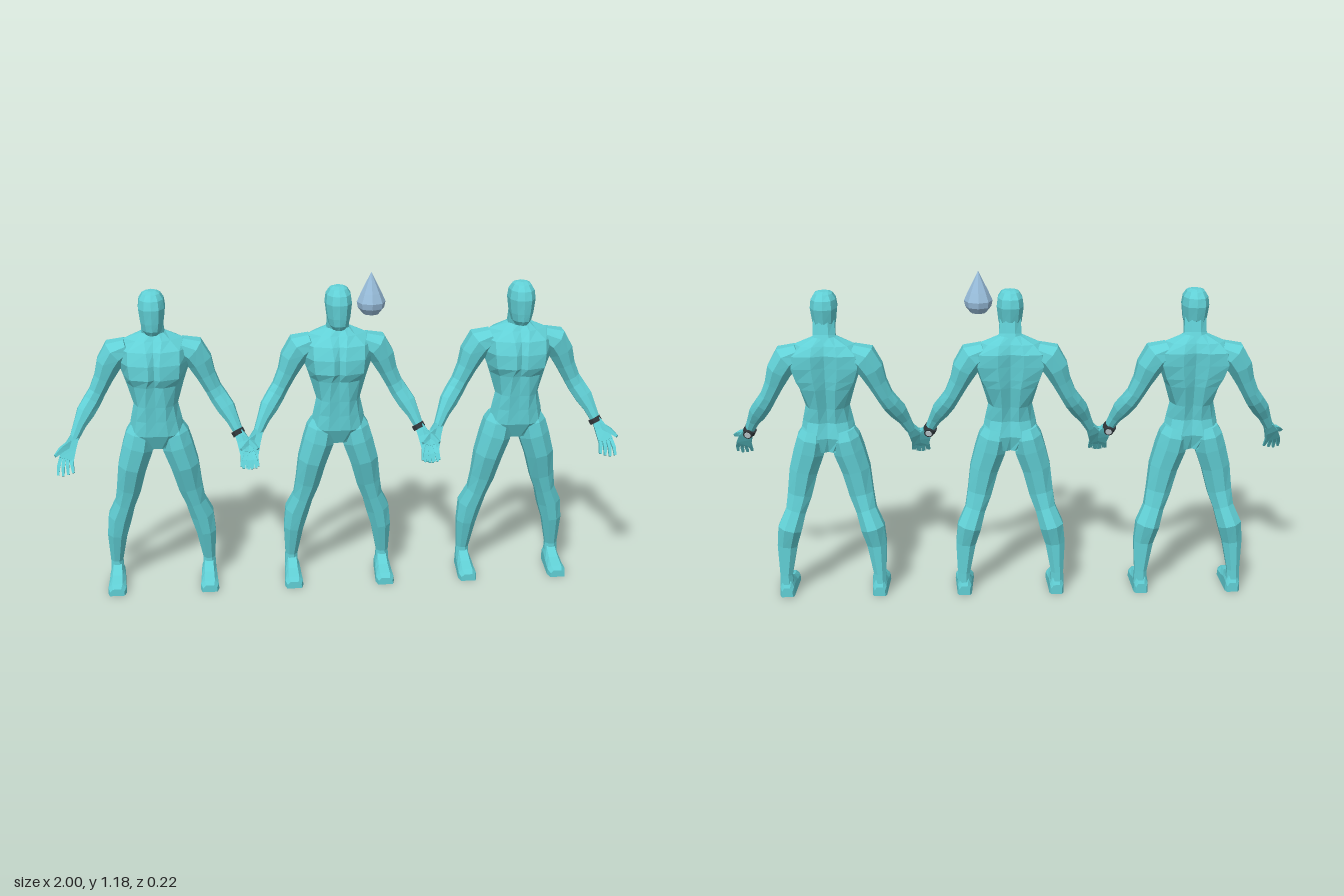
import * as THREE from 'three';

const material = (name, color) => Object.assign(new THREE.MeshStandardMaterial({ color }), { name });
const skin = material('teal body', 0x61d0d6);
const strapDark = material('dark strap', 0x2f363a);
const dialPale = material('pale dial', 0xcfdde2);
const dropBlue = material('drop blue', 0x98bddb);
const V = (x, y, z) => new THREE.Vector3(x, y, z);

// Flat-faced skin over a list of rings, closed at both ends
function loft(rings) {
  const tris = [], n = rings[0].length, last = rings[rings.length - 1];
  for (let i = 0; i + 1 < rings.length; i++) {
    for (let j = 0; j < n; j++) {
      const k = (j + 1) % n, [p, q] = [rings[i], rings[i + 1]];
      tris.push(p[j], p[k], q[k], p[j], q[k], q[j]);
    }
  }
  for (let j = 1; j + 1 < n; j++) {
    tris.push(rings[0][0], rings[0][j + 1], rings[0][j], last[0], last[j], last[j + 1]);
  }
  const g = new THREE.BufferGeometry().setFromPoints(tris);
  g.computeVertexNormals();
  return g;
}

// Symmetric horizontal ring from half a profile of x, z pairs, front to back
function mirrorRing(y, pts) {
  const half = pts.map(([x, z]) => V(x, y, z));
  const other = pts.slice(1, -1).reverse().map(([x, z]) => V(-x, y, z));
  return [...half, ...other];
}

// Axes across a direction: side is width, front is depth
function axes(t) {
  const side = V().crossVectors(t, V(0, 0, 1)).normalize();
  return { side, front: V().crossVectors(side, t) };
}

// Tapered tube; each section is x, y, z, half width, half depth
function limb(sections, s = 1, n = 8) {
  const c = sections.map(([x, y, z]) => V(x * s, y, z));
  const grow = 1 / Math.cos(Math.PI / n);
  return loft(sections.map(([, , , w, d], i) => {
    const t = c[Math.min(i + 1, c.length - 1)].clone().sub(c[Math.max(i - 1, 0)]).normalize();
    const { side, front } = axes(t);
    return Array.from({ length: n }, (_, j) => {
      const a = (j + 0.5) / n * Math.PI * 2;
      return c[i].clone().addScaledVector(front, Math.cos(a) * d * grow)
        .addScaledVector(side, Math.sin(a) * w * grow);
    });
  }));
}

function add(group, name, geometry, mat = skin) {
  const mesh = new THREE.Mesh(geometry, mat);
  mesh.name = name;
  group.add(mesh);
  return mesh;
}

// Height, then front centre z, then x, z around the side, then back centre z
const TORSO = [
  [.545, .02, .015, .02, .035, .015, .045, -.02, .035, -.06, .015, -.06, -.05],
  [.60, .044, .04, .044, .08, .028, .1, -.015, .08, -.058, .04, -.078, -.066],
  [.655, .044, .035, .046, .07, .028, .09, -.01, .07, -.045, .03, -.064, -.053],
  [.71, .046, .035, .05, .062, .03, .078, -.012, .06, -.055, .03, -.073, -.058],
  [.785, .05, .03, .058, .072, .038, .1, -.018, .085, -.075, .035, -.09, -.072],
  [.815, .058, .02, .072, .085, .05, .11, -.02, .1, -.082, .04, -.094, -.076],
  [.865, .055, .02, .068, .09, .048, .128, -.025, .115, -.092, .045, -.098, -.08],
  [.91, .04, .025, .05, .09, .03, .13, -.032, .11, -.092, .045, -.1, -.085],
  [.942, .013, .03, .02, .06, .005, .105, -.036, .08, -.075, .04, -.085, -.075],
  [.968, -.005, .02, -.005, .035, -.015, .042, -.035, .035, -.053, .02, -.063, -.06],
];

// Height, face z, back z, half width
const HEAD = [
  [.972, .05, .02, .022], [.988, .06, -.025, .034], [1.015, .063, -.052, .041],
  [1.065, .066, -.063, .047], [1.095, .057, -.058, .043], [1.114, .04, -.042, .031],
  [1.121, .014, -.022, .018],
];

const LEG = [
  [.055, .625, -.025, .038, .046], [.06, .595, -.025, .05, .06], [.071, .545, -.022, .054, .062],
  [.094, .47, -.022, .05, .056], [.111, .38, -.032, .043, .041], [.127, .32, -.043, .036, .041],
  [.149, .258, -.06, .042, .049], [.162, .19, -.056, .035, .036], [.17, .08, -.07, .022, .023],
  [.17, .03, -.07, .024, .025],
];

const ARM = [
  [.09, .913, -.038, .03, .045], [.133, .893, -.04, .048, .058], [.16, .85, -.041, .043, .053],
  [.18, .8, -.038, .033, .042], [.204, .75, -.034, .029, .034], [.222, .72, -.026, .031, .031],
  [.247, .683, -.007, .031, .027], [.268, .645, .012, .022, .02], [.289, .6, .03, .016, .016],
];

// Foot: z, half width, top height
const FOOT = [[-.1, .02, .035], [-.088, .026, .06], [-.05, .028, .066], [0, .031, .045], [.05, .034, .034], [.077, .027, .026]];

function limbsOnSide(figure, s) {
  const side = s > 0 ? 'left' : 'right';
  add(figure, side + 'Leg', limb(LEG, s));
  add(figure, side + 'Foot', loft(FOOT.map(([z, w, h]) => [
    [1, 0], [.95, .6], [.55, 1], [-.55, 1], [-.95, .6], [-1, 0],
  ].map(([u, v]) => V(.168 * s + u * w, v * h, z)))));
  add(figure, side + 'Arm', limb(ARM, s));

  // Open hand, fingers spread and thumb reaching forward and outward
  const hand = new THREE.Group();
  hand.name = side + 'Hand';
  figure.add(hand);
  add(hand, 'palm', limb([
    [.288, .605, .03, .015, .013], [.304, .575, .048, .022, .012], [.317, .538, .073, .026, .01],
  ], s, 4));
  for (let i = 0; i < 4; i++) {
    const u = i - 1.5, drop = Math.abs(u - .3) * .005;
    add(hand, 'finger', limb([
      [.317 + u * .0125, .544, .07 + u * .002, .006, .007],
      [.32 + u * .0155, .517 + drop * .5, .09 + u * .003, .0058, .0065],
      [.319 + u * .0175, .489 + drop, .105 + u * .003, .004, .0045],
    ], s, 4));
  }
  add(hand, 'thumb', limb([
    [.3, .588, .042, .011, .01], [.33, .576, .068, .009, .009], [.352, .561, .094, .0045, .0045],
  ], s, 4));
}

function buildFigure() {
  const figure = new THREE.Group();
  figure.name = 'figure';
  add(figure, 'torso', loft(TORSO.map(([y, f, ...r]) => mirrorRing(y, [
    [0, f], [r[0], r[1]], [r[2], r[3]], [r[4], r[5]], [r[6], r[7]], [r[8], r[9]], [0, r[10]],
  ]))));
  add(figure, 'neck', limb([[0, .94, -.036, .05, .036], [0, .97, -.028, .039, .031], [0, 1.02, -.014, .037, .034]]));
  add(figure, 'head', loft(HEAD.map(([y, f, b, w]) => mirrorRing(y, [
    [0, f], [w * .55, f - .005], [w * .95, f * .55 + b * .1], [w, f * .2 + b * .5], [w * .65, b + .008], [0, b],
  ]))));
  limbsOnSide(figure, 1);
  limbsOnSide(figure, -1);

  // Wrist strap on the left arm with a round dial on the back
  const wrist = V(.286, .602, .027), along = V(.045, -.08, .036).normalize();
  const at = (k, w) => [...wrist.clone().addScaledVector(along, k).toArray(), w, w];
  add(figure, 'wristStrap', limb([at(-.009, .022), at(.009, .022)]), strapDark);
  const back = axes(along).front.negate();
  const disc = (name, r, h, out, mat) => {
    const m = add(figure, name, new THREE.CylinderGeometry(r, r, h, 10), mat);
    m.position.copy(wrist).addScaledVector(back, out);
    m.quaternion.setFromUnitVectors(V(0, 1, 0), back);
  };
  disc('dialRim', .017, .01, .024, strapDark);
  disc('dial', .012, .003, .029, dialPale);
  return figure;
}

export function createModel() {
  const model = new THREE.Group();
  model.name = 'threeFigures';
  for (const x of [-.645, 0, .645]) {
    const figure = buildFigure();
    figure.position.x = x;
    model.add(figure);
  }
  // Faceted drop floating beside the middle head
  const profile = [[0, 1.022], [.028, 1.03], [.046, 1.052], [.05, 1.073], [.036, 1.105], [0, 1.178]];
  const drop = new THREE.LatheGeometry(profile.map(([r, y]) => new THREE.Vector2(r, y)), 8).toNonIndexed();
  drop.computeVertexNormals();
  add(model, 'drop', drop, dropBlue).position.set(.11, 0, .038);
  return model;
}
